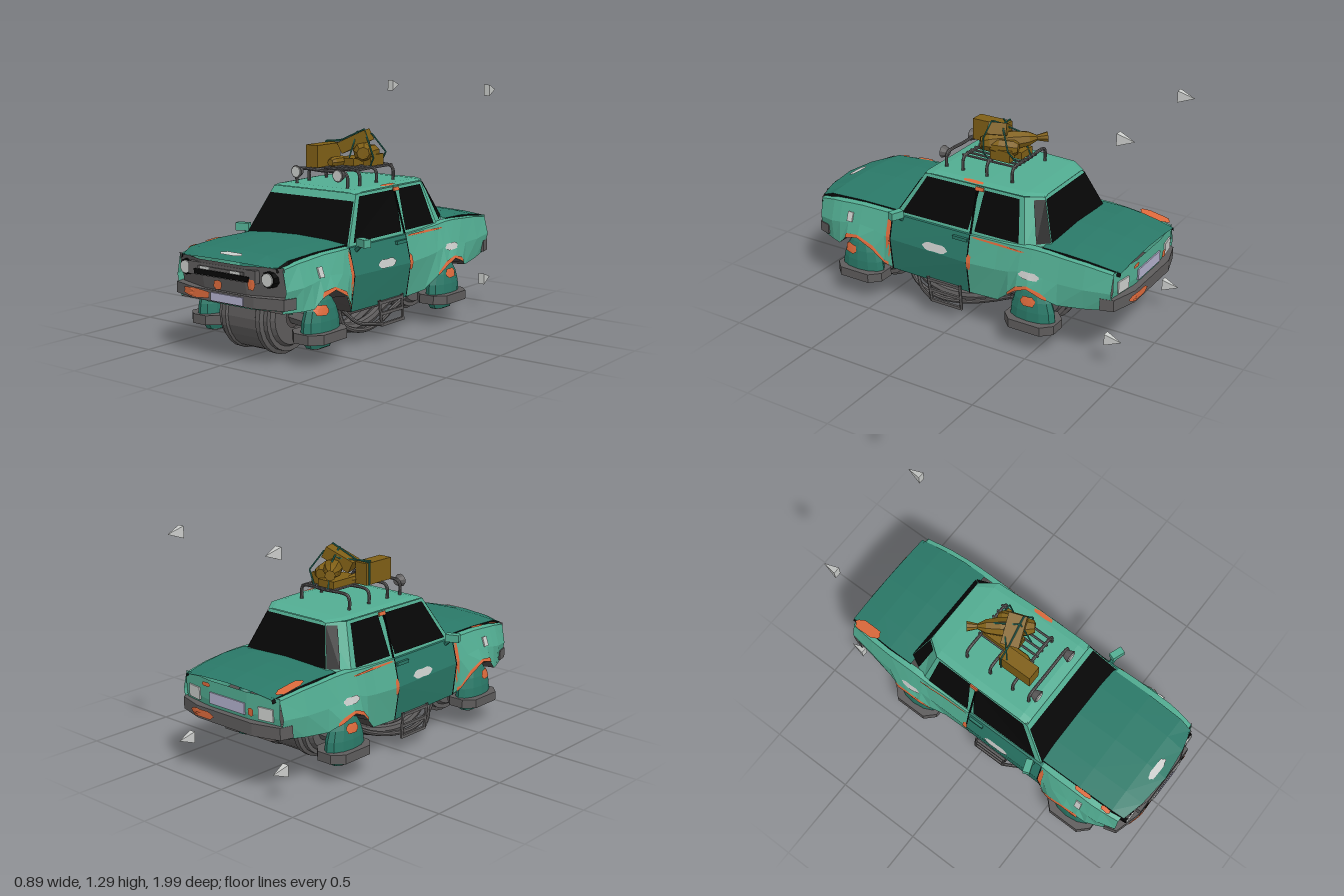
import * as THREE from 'three';

const mat = (name, color) => new THREE.MeshStandardMaterial({ name, color, flatShading: true, side: THREE.DoubleSide });
const M = {
  light: mat('light green', 0x52ad92), dark: mat('dark green', 0x2a7968), grey: mat('dark grey', 0x5e5c5c),
  floor: mat('floor grey', 0x4c4847), black: mat('black', 0x060606), rust: mat('rust', 0xdd6a3c),
  pale: mat('pale grey', 0xcaccca), plate: mat('lavender', 0xb2b0cc), brown: mat('luggage brown', 0x7f5f16),
};
const V = (p) => new THREE.Vector3(...p);
const lerp = THREE.MathUtils.lerp;

// Side stations: z, lower edge (x, y), bulge (x, y), belt (x, y)
const ST = [
  [0.92, .335, .30, .36, .41, .34, .515], [0.82, .38, .30, .39, .42, .355, .535], [0.76, .405, .305, .395, .43, .36, .54],
  [0.70, .42, .36, .395, .44, .36, .545], [0.62, .425, .38, .395, .45, .36, .55], [0.52, .42, .33, .395, .44, .36, .55],
  [0.46, .395, .26, .39, .42, .358, .55], [0.42, .365, .22, .39, .41, .355, .55], [-0.075, .36, .21, .39, .40, .355, .55],
  [-0.25, .365, .22, .39, .41, .355, .555], [-0.33, .40, .29, .392, .42, .36, .56], [-0.39, .42, .34, .395, .44, .36, .565],
  [-0.46, .425, .37, .395, .45, .36, .57], [-0.54, .42, .34, .395, .44, .36, .57], [-0.62, .39, .305, .39, .43, .36, .565],
  [-0.76, .365, .315, .38, .43, .352, .555], [-0.91, .335, .335, .36, .44, .335, .535],
];
function at(z) {
  let i = 0;
  while (i < ST.length - 2 && z < ST[i + 1][0]) i++;
  const a = ST[i], b = ST[i + 1], t = (z - a[0]) / (b[0] - a[0]);
  return a.map((v, k) => lerp(v, b[k], t));
}
function sidePoint(s, z, y, off = 0.005) {
  const [, lx, ly, mx, my, bx, by] = at(z);
  const x = y < my ? lerp(lx, mx, (y - ly) / (my - ly)) : lerp(mx, bx, (y - my) / (by - my));
  return [s * (x + off), y, z];
}

export function createModel() {
  const root = new THREE.Group();
  root.name = 'hoverCar';
  const add = (name, geo, m, p = [0, 0, 0], r = [0, 0, 0], sc = [1, 1, 1]) => {
    const mesh = new THREE.Mesh(geo, m);
    mesh.name = name;
    mesh.position.set(...p); mesh.rotation.set(...r); mesh.scale.set(...sc);
    root.add(mesh);
    return mesh;
  };
  const box = (name, m, w, h, d, p, r) => add(name, new THREE.BoxGeometry(w, h, d), m, p, r);
  // surface through rows of points
  const grid = (name, m, rows) => {
    const v = [];
    for (let i = 0; i < rows.length - 1; i++) for (let j = 0; j < rows[i].length - 1; j++) {
      const a = rows[i][j], b = rows[i + 1][j], c = rows[i + 1][j + 1], d = rows[i][j + 1];
      v.push(...a, ...b, ...c, ...a, ...c, ...d);
    }
    const g = new THREE.BufferGeometry();
    g.setAttribute('position', new THREE.Float32BufferAttribute(v, 3));
    g.computeVertexNormals();
    return add(name, g, m);
  };
  // blunt, slightly ragged spot laid on a surface function
  const blunt = (c) => Math.sign(c) * Math.abs(c) ** 0.7;
  const spot = (name, m, fn, u, v, ru, rv) => {
    const ring = [...Array(17)].map((_, i) => {
      const a = (i % 16) / 16 * Math.PI * 2, k = 0.95 + 0.08 * Math.sin((i % 16) * 2.4 + u * 9);
      return [u + blunt(Math.cos(a)) * ru * k, v + blunt(Math.sin(a)) * rv * k];
    });
    grid(name, m, [0, 0.5, 1].map((t) => ring.map(([a, b]) => fn(lerp(u, a, t), lerp(v, b, t)))));
  };
  const tube = (name, m, pts, r, seg = 24) =>
    add(name, new THREE.TubeGeometry(new THREE.CatmullRomCurve3(pts.map(V)), seg, r, 8), m);
  const rod = (name, m, a, b, r) => add(name, new THREE.TubeGeometry(new THREE.LineCurve3(V(a), V(b)), 1, r, 6), m);
  // plan outline (x, z) raised from y to y + h
  const slab = (name, m, outline, y, h) => {
    const shape = new THREE.Shape(outline.map(([x, z]) => new THREE.Vector2(x, z)));
    add(name, new THREE.ExtrudeGeometry(shape, { depth: h, bevelEnabled: false }), m, [0, y + h, 0], [Math.PI / 2, 0, 0]);
  };

  // Lower body panels
  const panels = [['frontFender', M.light, 0, 7], ['frontDoor', M.dark, 7, 8], ['rearQuarter', M.light, 8, 16]];
  for (const s of [-1, 1]) {
    for (const [name, m, a, b] of panels) grid(name, m, ST.slice(a, b + 1).map(([z, lx, ly, mx, my, bx, by]) =>
      [[s * lx, ly, z], [s * mx, my, z], [s * bx, by, z], [s * (bx - .035), by + .006, z]]));
    for (const z of [.42, -.075]) grid('doorGap', M.black, [z - .004, z + .004].map((w) =>
      [2, 4, 6].map((k) => sidePoint(s, w, at(w)[k], .003))));
    // Wear marks
    const side = (z, y) => sidePoint(s, z, y);
    spot('rustSpot', M.rust, side, .435, .42, .013, .125);
    spot('rustSpot', M.rust, side, -.085, .405, .014, .045);
    spot('rustSpot', M.rust, side, -.25, .543, .17, .006);
    for (const zs of [[.71, .70, .62, .52, .46, .44], [-.33, -.39, -.46, -.54, -.57]]) grid('archRust', M.rust,
      zs.map((z, i) => [0, .006 + .009 * (i % 2 + 1)].map((h) => side(z, at(z)[2] + h))));
    spot('scrapedPaint', M.pale, side, .13, .432, .08, .024);
    spot('scrapedPaint', M.pale, side, -.46, .435, .062, .02);
    box('sideIndicator', M.pale, .008, .055, .035, [s * .388, .475, .69], [0, 0, s * .35]);
    box('doorHandle', M.dark, .02, .018, .09, [s * .365, .52, -.02]);
    // Mirror
    box('mirror', M.light, .075, .042, .04, [s * .405, .575, .365], [0, s * -.35, 0]);
    rod('mirrorArm', M.dark, [s * .34, .52, .36], [s * .385, .56, .365], .014);
  }
  grid('floorPan', M.floor, ST.map(([z, lx, ly]) => [[-lx, ly, z], [-.27, Math.min(ly, .31), z], [.27, Math.min(ly, .31), z], [lx, ly, z]]));

  // Hood and trunk lid, with dark gaps along the edges
  const lid = (name, rows) => {
    grid(name, M.dark, rows.map(([z, x, y]) => [-1, -.6, 0, .6, 1].map((k) => [k * x, y + .018 * (1 - k * k), z - .05 * k * k * (z > .9)])));
    for (const s of [-1, 1]) grid('lidGap', M.black, rows.map(([z, x, y]) =>
      [[s * x, y, z - .05 * (z > .9)], [s * (x + .006), y - .02, z - .05 * (z > .9)]]));
  };
  lid('hood', [[.40, .325, .562], [.65, .325, .562], [.86, .32, .55], [.985, .31, .52]]);
  lid('trunkLid', [[-.50, .33, .58], [-.65, .33, .578], [-.8, .32, .563], [-.935, .305, .54]]);
  spot('hoodScrape', M.pale, (x, z) => [x, .573 - (z - .86) * .24, z], .01, .92, .075, .02);
  for (const [z, r] of [[.83, .03], [.68, .055]]) spot('rustSpot', M.rust, (x, w) => [x, at(w)[6] + .012, w], -.335, z, .014, r);
  spot('trunkRust', M.rust, (x, z) => [x, .578 + (z + .82) * .17, z], -.315, -.82, .034, .09);

  // Front: fascia and valance
  const xs = [-.345, -.28, -.14, .14, .28, .345];
  const across = (y, z) => xs.map((x) => [x, y, z - Math.max(0, Math.abs(x) - .14) * .33]);
  grid('frontFascia', M.grey, [across(.525, .985), across(.43, .965), across(.36, .95)]);
  grid('frontValance', M.light, [across(.37, .95), across(.30, .93), xs.map((x) => [x, .285, .85])]);
  box('grilleFrame', M.grey, .44, .065, .03, [0, .475, .968]);
  box('grilleSlot', M.black, .36, .026, .008, [0, .461, .984]);
  box('grilleBar', M.grey, .3, .016, .01, [0, .485, .986]);
  for (const x of [-.1, .1]) box('grilleTrim', M.pale, .06, .014, .006, [x, .485, .992]);
  for (const s of [-1, 1]) {
    add('headlightRim', new THREE.CylinderGeometry(.041, .046, .05, 10), M.black, [s * .27, .465, .925], [Math.PI / 2, 0, 0]);
    add('headlight', new THREE.CylinderGeometry(.034, .034, .008, 10), M.pale, [s * .27, .465, .953], [Math.PI / 2, 0, 0]);
  }
  // Bumpers from one plan outline
  const half = [[.2, .975], [.355, .93], [.375, .86], [.345, .86], [.31, .9]];
  const plan = [...half, ...half.map(([x, z]) => [-x, z]).reverse()];
  slab('frontBumper', M.grey, plan, .318, .057);
  slab('rearBumper', M.grey, plan.map(([x, z]) => [x * .98, -z + .008]), .338, .065);
  box('frontPlate', M.plate, .21, .042, .008, [.035, .345, .982]);
  const front = (z) => (x, y) => [x, y, z - Math.max(0, Math.abs(x) - .2) * .29];
  spot('fasciaRust', M.rust, front(.972), -.035, .405, .028, .025);
  spot('fasciaRust', M.rust, front(.987), .195, .437, .022, .028);
  spot('bumperRust', M.rust, front(.981), -.18, .349, .103, .024);

  // Rear face
  const back = (y, z) => xs.map((x) => [x * .975, y, z + Math.max(0, Math.abs(x) - .14) * .15]);
  grid('rearPanel', M.light, [back(.545, -.94), back(.44, -.94), back(.335, -.92)]);
  box('rearPlate', M.plate, .25, .06, .008, [0, .455, -.943]);
  for (const s of [-1, 1]) box('tailLight', M.pale, .09, .065, .008, [s * .255, .452, -.926], [0, s * -.15, 0]);
  const rear = (z) => (x, y) => [x, y, z + Math.max(0, Math.abs(x) - .2) * .29];
  spot('rearRust', M.rust, rear(-.947), -.17, .45, .02, .022);
  spot('rearRust', M.rust, rear(-.945), .15, .52, .03, .012);
  spot('bumperRust', M.rust, rear(-.973), .16, .37, .09, .022);

  // Cabin walls with thin glass panes
  const low = [[.345, .545, .41], [.345, .55, -.40], [.285, .575, -.525]], top = [[.275, .80, .255], [.265, .80, -.35], [.2, .80, -.435]];
  const flip = ([x, y, z]) => [-x, y, z];
  const wall = (a, b, c, d, panes) => {
    grid('cabinWall', M.light, [[a, b], [d, c]]);
    const n = V(b).sub(V(a)).cross(V(d).sub(V(a))).normalize();
    if (n.dot(V(a).sub(new THREE.Vector3(0, .65, -.05))) < 0) n.negate();
    const pt = (u, v) => V(a).lerp(V(b), u).lerp(V(d).lerp(V(c), u), v).addScaledVector(n, .005).toArray();
    for (const [u0, u1, v0, v1] of panes) grid('glass', M.black, [[pt(u0, v0), pt(u1, v0)], [pt(u0, v1), pt(u1, v1)]]);
  };
  wall(flip(low[0]), low[0], top[0], flip(top[0]), [[.01, .99, .03, .85]]);
  wall(flip(low[2]), low[2], top[2], flip(top[2]), [[0, 1, .06, .93]]);
  for (const g of [(p) => p, flip]) {
    wall(g(low[0]), g(low[1]), g(top[1]), g(top[0]), [[.04, .57, .08, .94], [.62, .96, .08, .94]]);
    wall(g(low[1]), g(low[2]), g(top[2]), g(top[1]), [[.45, 1, .06, .93]]);
    const s = g([1, 0, 0])[0];
    box('pillarGap', M.black, .006, .25, .008, [s * .316, .675, -.075], [0, 0, s * .29]);
    box('pillarRust', M.rust, .008, .02, .05, [s * .283, .788, -.09], [0, 0, s * .29]);
  }
  grid('roof', M.light, [[.262, .28, .795], [.21, .28, .805], [-.1, .28, .808], [-.35, .27, .805], [-.44, .205, .797]].map(([z, x, y]) =>
    [-1, -.85, 0, .85, 1].map((k) => [k * x, y + (Math.abs(k) < 1 ? .008 : 0), z])));
  spot('roofRust', M.rust, (x, z) => [x, .819 - Math.max(0, x - .235) * .18, z], .262, -.04, .014, .065);

  // Hover pods
  const oct = (cx, cz, w, d, c) => [[w - c, d], [w, d - c], [w, c - d], [w - c, -d], [c - w, -d], [-w, c - d], [-w, d - c], [c - w, d]].map(([x, z]) => [cx + x, cz + z]);
  for (const s of [-1, 1]) for (const z of [.64, -.455]) {
    const x = s * .34;
    add('podDome', new THREE.SphereGeometry(1, 12, 5, 0, Math.PI * 2, 0, Math.PI / 2), M.dark, [s * .345, .165, z], [0, 0, 0], [.065, .2, .135]);
    slab('podSkirt', M.grey, oct(x, z, .1, .148, .055), .125, .05);
    add('podNozzle', new THREE.CylinderGeometry(1, .75, 1, 8).rotateY(Math.PI / 8), M.dark, [s * .335, .11, z], [0, 0, 0], [.058, .045, .115]);
    slab('podVent', M.grey, oct(s * .335, z, .032, .065, .015), .082, .008);
    box('podSlot', M.black, .025, .004, .07, [s * .335, .08, z]);
    spot('podRust', M.rust, (w, y) => [s * (.351 + .065 * Math.sqrt(Math.max(0, 1 - ((w - z) / .135) ** 2 - ((y - .165) / .2) ** 2))), y, w], z + (z > 0 ? .05 : 0), .285, .045, .027);
    rod('podStrut', M.grey, [s * .15, .22, z], [s * .33, .20, z], .04);
  }

  // Turbine drums, as stepped lathes lying across the car
  const drum = (name, z, y, r, w) => {
    const p = [[.3, -1], [.72, -1], [.78, -.88], [.9, -.88], [.9, -.75], [1, -.7], [1, -.55], [.95, -.5], [.95, .5], [1, .55], [1, .7], [.9, .75], [.9, .88], [.78, .88], [.72, 1], [.3, 1]];
    add(name, new THREE.LatheGeometry(p.map(([a, b]) => new THREE.Vector2(a * r, b * w)), 24), M.grey, [0, y, z], [0, 0, Math.PI / 2]);
    add('drumCore', new THREE.CylinderGeometry(r * .32, r * .32, w * 1.9, 12), M.floor, [0, y, z], [0, 0, Math.PI / 2]);
  };
  drum('frontTurbine', .645, .22, .205, .18);
  drum('rearTurbine', -.41, .235, .18, .2);
  box('axleBeam', M.grey, .56, .10, .14, [0, .225, .55]);
  box('gearbox', M.floor, .36, .13, .5, [0, .2, -.03]);
  // Looping hoses between the drums
  for (const s of [-1, 1]) for (const [x, r, t] of [[.1, .175, .034], [.18, .145, .028], [.26, .14, .014]]) {
    tube('hose', M.grey, [[s * x, .24, .2 + r * 1.4], [s * x, .12, .2 + r], [s * (x + .01), .2 - r + t * .5, .19], [s * x, .08, .02], [s * (x - .02), .12, -.12], [s * x, .2, -.28]], t);
  }
  // Hanging side steps
  for (const s of [-1, 1]) {
    const X = s * .375;
    for (const [y, z] of [[.105, .065], [.165, .075], [.225, .08]]) box('stepRung', M.grey, .014, .016, .2, [X, y, z]);
    rod('stepPost', M.grey, [X, .24, .185], [X, .1, .16], .009);
    rod('stepPost', M.grey, [X, .24, -.02], [X, .1, -.03], .009);
    tube('stepArm', M.grey, [[s * .25, .2, .34], [s * .31, .13, .28], [X, .11, .165]], .01);
  }

  // Roof rack and lamps
  const hoop = (name, z) => tube(name, M.grey, [[-.17, .8, z], [-.17, .87, z], [-.155, .89, z], [0, .892, z], [.155, .89, z], [.17, .87, z], [.17, .8, z]], .009, 40);
  for (const z of [.085, -.065, -.22]) hoop('rackHoop', z);
  hoop('lampBar', .19);
  for (const x of [-.05, -.01, .03, .07, .11, .15]) rod('rackRail', M.grey, [x, .895, .1], [x, .895, -.235], .007);
  for (const s of [-1, 1]) {
    add('lampHousing', new THREE.CylinderGeometry(.036, .022, .035, 10), M.grey, [s * .14, .88, .215], [Math.PI / 2, 0, 0]);
    add('lampLens', new THREE.CylinderGeometry(.028, .028, .006, 10), M.pale, [s * .14, .88, .235], [Math.PI / 2, 0, 0]);
  }

  // Luggage
  box('suitcase', M.brown, .08, .12, .2, [-.09, .96, .063]);
  box('lowCase', M.brown, .11, .04, .2, [.005, .92, -.11]);
  box('smallCase', M.brown, .05, .06, .12, [.11, .93, -.12]);
  const sack = (name, a, b, r) => {
    const d = V(b).sub(V(a)), L = d.length();
    const p = [[0, 0], [.65, 0], [1, .12], [1, .5], [.75, .72], [.3, .84], [.55, 1], [0, 1]].map(([x, y]) => new THREE.Vector2(x * r, y * L));
    const m = add(name, new THREE.LatheGeometry(p, 8), M.brown, a);
    m.quaternion.setFromUnitVectors(new THREE.Vector3(0, 1, 0), d.normalize());
  };
  sack('longSack', [.13, .975, .0], [-.09, .995, -.28], .052);
  sack('bedroll', [-.03, .922, .08], [-.03, .922, -.12], .028);
  sack('roundSack', [.06, .96, -.19], [.13, .97, .0], .045);
  box('bundle', M.brown, .17, .065, .1, [.035, 1.03, -.06], [0, .35, .45]);
  // Taut ropes in straight runs
  const rope = (pts) => pts.forEach((p, i) => i && rod('rope', M.dark, pts[i - 1], p, .0045));
  rope([[-.135, .9, -.02], [-.135, 1.025, -.02], [-.05, 1.03, -.03], [.1, 1.1, -.05], [.15, 1.02, -.03], [.17, .95, -.04], [.14, .9, -.05]]);
  rope([[-.12, 1.025, .01], [.0, 1.04, -.1], [.1, 1.07, -.12], [.15, .97, -.18], [.1, .9, -.2]]);
  rope([[.06, .95, .03], [.06, 1.085, -.04], [.0, 1.03, -.17], [-.02, .9, -.22]]);

  // Free floating pointers behind the car
  for (const s of [-1, 1]) for (const [y, z] of [[1.27, -.95], [.17, -.925]]) {
    add('floatingPointer', new THREE.ConeGeometry(.028, .09, 4).rotateY(Math.PI / 4), M.pale, [s * .34, y, z], [-Math.PI / 2, 0, 0], [.95, 1, 1.6]);
  }
  return root;
}
